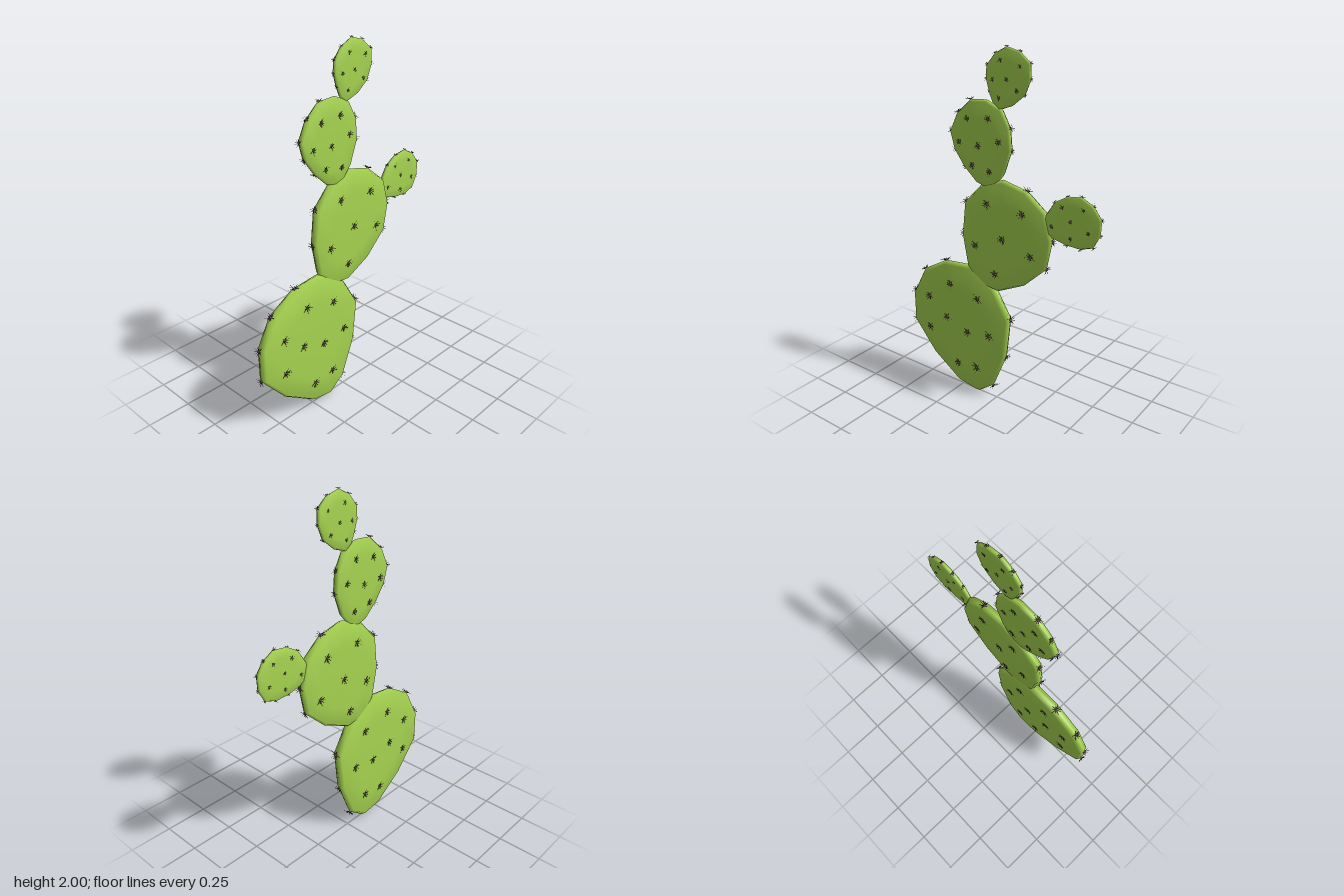
import * as THREE from 'three';
import { mergeGeometries } from 'three/addons/utils/BufferGeometryUtils.js';

const green = new THREE.MeshStandardMaterial({ color: 0xa8d651 });
const dark = new THREE.MeshStandardMaterial({ color: 0x3c2434 });
const pink = new THREE.MeshStandardMaterial({ color: 0xb283a4 });

const SIDES = 12;
// Scale about the pad centre and share of the half thickness, back to front
const LAYERS = [[0, -1], [0.6, -0.98], [0.955, -0.85], [1, 0], [0.955, 0.85], [0.6, 0.98], [0, 1]];
const Z = new THREE.Vector3(0, 0, 1);

// Closed smooth outline through a few corners, sampled by corner number 0..SIDES
function makeOutline(corners) {
  const points = corners.map(([x, y]) => new THREE.Vector3(x, y, 0));
  const curve = new THREE.CatmullRomCurve3(points, true, 'catmullrom', 0.5);
  const centre = new THREE.Box3().setFromPoints(points).getCenter(new THREE.Vector3());
  const at = (i, scale = 1) => curve.getPoint(((i / SIDES) % 1 + 1) % 1).sub(centre).multiplyScalar(scale).add(centre);
  return { at, centre };
}

// Flat cushion lofted through scaled copies of the outline
function padGeometry(outline, thickness) {
  const pos = [], index = [], last = LAYERS.length - 2;
  for (const [scale, z] of LAYERS) {
    for (let i = 0; i < SIDES; i++) {
      const p = outline.at(i, scale);
      pos.push(p.x, p.y, z * thickness);
    }
  }
  for (let k = 0; k <= last; k++) {
    for (let i = 0; i < SIDES; i++) {
      const a = k * SIDES + i, b = k * SIDES + (i + 1) % SIDES;
      if (k > 0) index.push(a, b, b + SIDES);
      if (k < last) index.push(a, b + SIDES, a + SIDES);
    }
  }
  const g = new THREE.BufferGeometry();
  g.setAttribute('position', new THREE.Float32BufferAttribute(pos, 3));
  g.setIndex(index);
  g.computeVertexNormals();
  // Middle of each face looks straight out
  for (let i = 0; i < SIDES; i++) {
    g.attributes.normal.setXYZ(i, 0, 0, -1);
    g.attributes.normal.setXYZ((last + 1) * SIDES + i, 0, 0, 1);
  }
  return g;
}

// Star of thin spines of unit radius around +z
function spineStar() {
  const up = new THREE.Vector3(0, 1, 0), parts = [];
  for (let i = 0; i < 10; i++) {
    const a = i / 10 * Math.PI * 2 + 0.2;
    const lift = i % 2 ? 0.25 : 0.5, length = i % 2 ? 1 : 0.85;
    const dir = new THREE.Vector3(Math.cos(a), Math.sin(a), lift).normalize();
    const cone = new THREE.ConeGeometry(0.07, length, 3, 1, true).translate(0, length / 2, 0);
    parts.push(cone.applyQuaternion(new THREE.Quaternion().setFromUnitVectors(up, dir)));
  }
  return mergeGeometries(parts);
}

const star = spineStar();
const tuft = new THREE.ConeGeometry(0.28, 0.3, 6, 1, true).rotateX(Math.PI / 2).translate(0, 0, 0.1);

// One pad: corners run counter-clockwise from its base; `ring` areoles circle each
// face from corner `start`, `inner` fill the middle; `joints` are corners left bare
function makePad(name, corners, { thickness, spine, ring, start, inner = 1, joints = [] }) {
  const outline = makeOutline(corners);
  const spots = [];
  for (const side of [1, -1]) {
    const addSpot = (p) => spots.push([p.setZ(side * thickness * 0.94), new THREE.Vector3(0, 0, side)]);
    for (let i = 0; i < ring; i++) addSpot(outline.at(start + i * SIDES / ring, 0.65));
    for (let i = 0; i < inner; i++) addSpot(outline.at(3 + i * SIDES / inner, inner > 1 ? 0.22 : 0));
  }
  for (let i = 2; i < SIDES - 1; i++) {
    if (joints.includes(i)) continue;
    const p = outline.at(i);
    spots.push([p, p.clone().sub(outline.centre).normalize()]);
  }
  const matrices = spots.map(([p, normal], i) => {
    const q = new THREE.Quaternion().setFromUnitVectors(Z, normal);
    q.multiply(new THREE.Quaternion().setFromAxisAngle(Z, i * 1.3));
    return new THREE.Matrix4().compose(p, q, new THREE.Vector3().setScalar(spine));
  });
  const scatter = (g) => mergeGeometries(matrices.map((m) => g.clone().applyMatrix4(m)));

  const group = new THREE.Group();
  group.name = name;
  const addMesh = (part, geometry, material) => {
    const mesh = new THREE.Mesh(geometry, material);
    mesh.name = name + part;
    group.add(mesh);
  };
  addMesh('Body', padGeometry(outline, thickness), green);
  addMesh('Spines', scatter(star), dark);
  addMesh('Areoles', scatter(tuft), pink);
  return group;
}

export function createModel() {
  const model = new THREE.Group();
  model.name = 'cactus';
  model.add(
    makePad('basePad',
      [[-0.255, 0.018], [-0.02, 0.075], [0.095, 0.535], [-0.17, 0.8], [-0.525, 0.685], [-0.61, 0.335]],
      { thickness: 0.034, spine: 0.037, ring: 7, start: 0, inner: 2, joints: [5, 6] }),
    makePad('middlePad',
      [[0.015, 0.69], [0.32, 0.9], [0.31, 1.205], [0.045, 1.33], [-0.205, 1.17], [-0.19, 0.795]],
      { thickness: 0.029, spine: 0.035, ring: 5, start: -0.2, joints: [4, 6, 7, 10] }),
    makePad('upperPad',
      [[-0.03, 1.26], [0.095, 1.485], [0.035, 1.69], [-0.165, 1.72], [-0.3, 1.545], [-0.205, 1.36]],
      { thickness: 0.021, spine: 0.028, ring: 6, start: 0.5, joints: [4, 5] }),
    makePad('topPad',
      [[0.02, 1.685], [0.17, 1.77], [0.2, 1.925], [0.06, 1.993], [-0.06, 1.9], [-0.045, 1.77]],
      { thickness: 0.014, spine: 0.018, ring: 5, start: -0.5 }),
    makePad('sidePad',
      [[0.295, 1.12], [0.43, 1.06], [0.58, 1.08], [0.62, 1.23], [0.505, 1.325], [0.355, 1.27]],
      { thickness: 0.014, spine: 0.018, ring: 5, start: 0 }),
  );
  return model;
}
